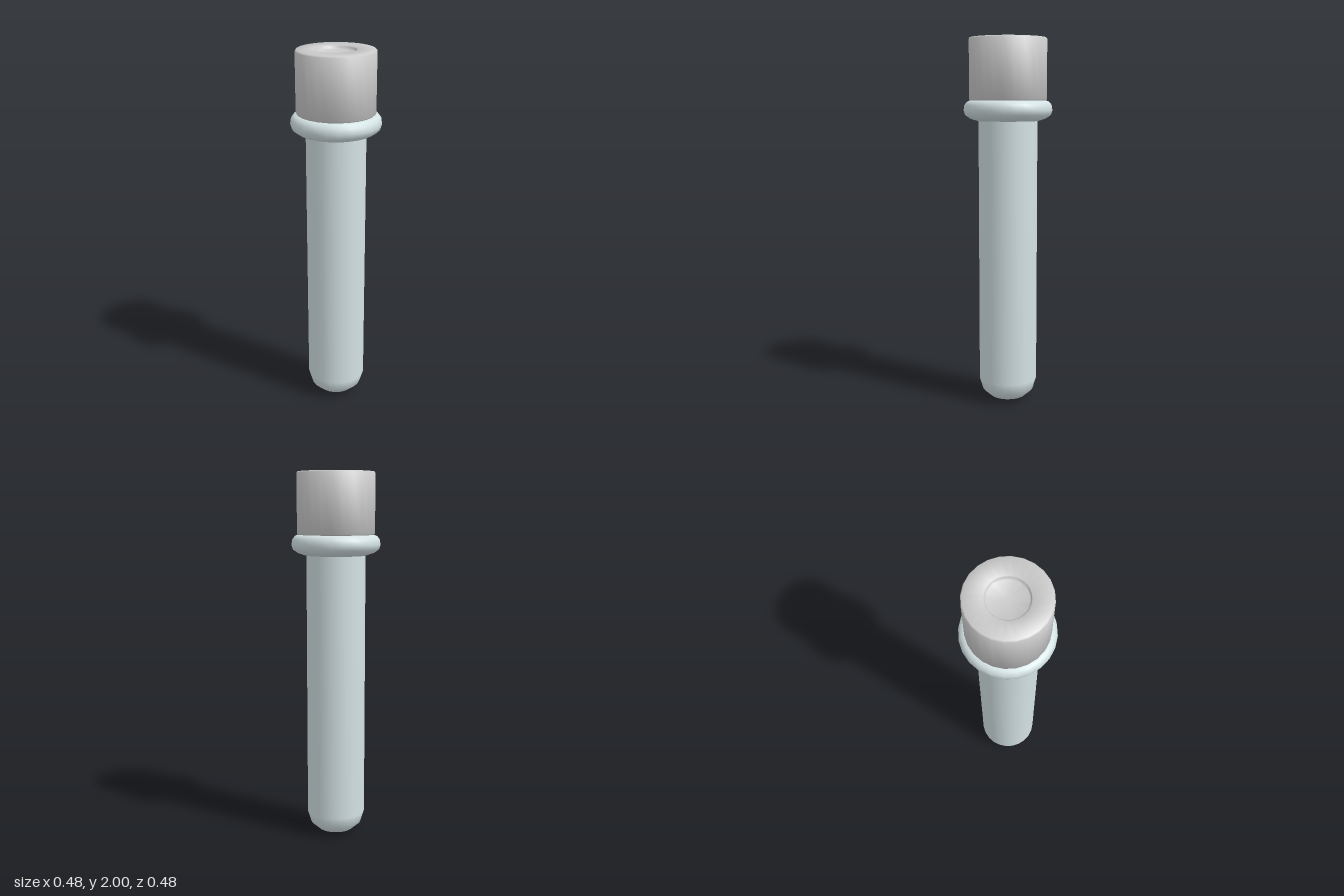
import * as THREE from 'three';
import { toCreasedNormals } from 'three/addons/utils/BufferGeometryUtils.js';

const SIDES = 24;

// Revolve a profile of [radius, height] pairs, listed from bottom to top
function lathePart(name, profile, color, crease) {
  const points = profile.map(([r, y]) => new THREE.Vector2(r, y));
  let geometry = new THREE.LatheGeometry(points, SIDES);
  if (crease) geometry = toCreasedNormals(geometry, crease);
  const material = new THREE.MeshStandardMaterial({ color });
  const mesh = new THREE.Mesh(geometry, material);
  mesh.name = name;
  return mesh;
}

export function createModel() {
  const group = new THREE.Group();
  group.name = 'cappedTestTube';
  const glass = 0xd4e2e4;
  const grey = 0xcccccc;

  // Tube with rounded bottom, straight wall
  group.add(lathePart('tubeBody', [
    [0, 0], [0.04, 0.004], [0.097, 0.022], [0.14, 0.06], [0.16, 0.125], [0.16, 1.57],
  ], glass));

  // Rounded lip at the mouth, closing inwards under the cap
  group.add(lathePart('tubeLip', [
    [0.155, 1.56], [0.165, 1.56], [0.205, 1.573], [0.232, 1.592], [0.24, 1.617],
    [0.236, 1.645], [0.222, 1.663], [0.205, 1.67], [0.14, 1.67],
  ], glass, 0.9));

  // Stopper with softened edges and a shallow round dimple on top
  group.add(lathePart('cap', [
    [0, 1.668], [0.203, 1.668], [0.21, 1.676], [0.21, 1.993], [0.204, 2],
    [0.109, 2], [0.105, 1.996], [0.103, 1.986], [0.098, 1.983], [0, 1.983],
  ], grey, 0.9));

  return group;
}
